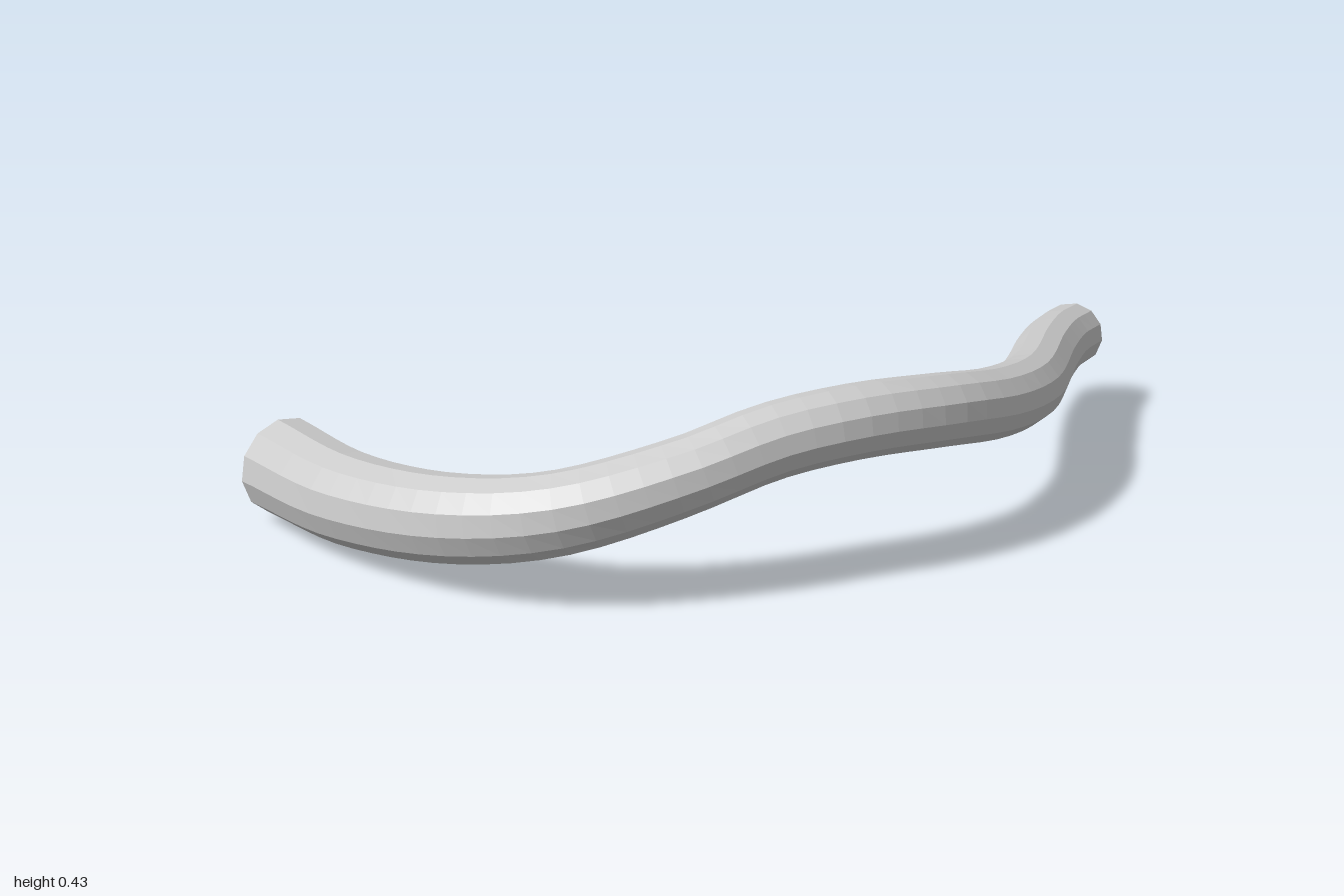
import * as THREE from 'three';

const SIDES = 12, RINGS = 48;

// Radius along the pipe: wide at the back end, slimming after the bend
const RADII = [[0, 0.112], [0.14, 0.1], [0.24, 0.094], [0.42, 0.081], [1, 0.079]];
function radiusAt(u) {
  const i = Math.max(1, RADII.findIndex(([t]) => t >= u));
  const [t0, r0] = RADII[i - 1], [t1, r1] = RADII[i];
  return THREE.MathUtils.mapLinear(u, t0, t1, r0, r1);
}

// Open, tapered tube whose rings keep a level top
function taperedTube(curve) {
  const positions = [], index = [];
  const up = new THREE.Vector3(0, 1, 0);
  for (let i = 0; i <= RINGS; i++) {
    const u = i / RINGS, r = radiusAt(u);
    const centre = curve.getPointAt(u);
    // the back end is cut square to z
    const tangent = i === 0 ? new THREE.Vector3(0, 0, 1) : curve.getTangentAt(u);
    const side = up.clone().cross(tangent).normalize();
    const top = tangent.clone().cross(side);
    for (let j = 0; j < SIDES; j++) {
      const a = (j / SIDES) * Math.PI * 2 + 0.08;
      const p = centre.clone()
        .addScaledVector(side, r * Math.cos(a))
        .addScaledVector(top, r * Math.sin(a));
      positions.push(p.x, p.y, p.z);
      if (i < RINGS) {
        const k = (j + 1) % SIDES;
        const a0 = i * SIDES + j, b0 = i * SIDES + k;
        index.push(a0, b0, b0 + SIDES, a0, b0 + SIDES, a0 + SIDES);
      }
    }
  }
  const geometry = new THREE.BufferGeometry();
  geometry.setAttribute('position', new THREE.Float32BufferAttribute(positions, 3));
  geometry.setIndex(index);
  // separate the faces for crisp facets
  const flat = geometry.toNonIndexed();
  flat.computeVertexNormals();
  return flat;
}

export function createModel() {
  const group = new THREE.Group();
  group.name = 'bentPipe';

  const grey = new THREE.MeshStandardMaterial({
    color: 0xcccccc, flatShading: true, side: THREE.DoubleSide,
  });
  grey.name = 'lightGrey';

  // Centre line from the back end, round the bend, to the side end
  const path = new THREE.CatmullRomCurve3([
    [-0.876, 0.112, -0.622], [-0.898, 0.127, -0.3], [-0.85, 0.162, 0],
    [-0.745, 0.205, 0.2], [-0.55, 0.275, 0.355], [-0.37, 0.332, 0.44],
    [-0.2, 0.35, 0.506], [0.03, 0.329, 0.541], [0.22, 0.292, 0.521],
    [0.41, 0.262, 0.455], [0.7, 0.226, 0.267], [0.85, 0.207, 0.178],
    [0.968, 0.19, 0.126],
  ].map((p) => new THREE.Vector3(...p)));

  const pipe = new THREE.Mesh(taperedTube(path), grey);
  pipe.name = 'pipe';
  group.add(pipe);
  return group;
}
